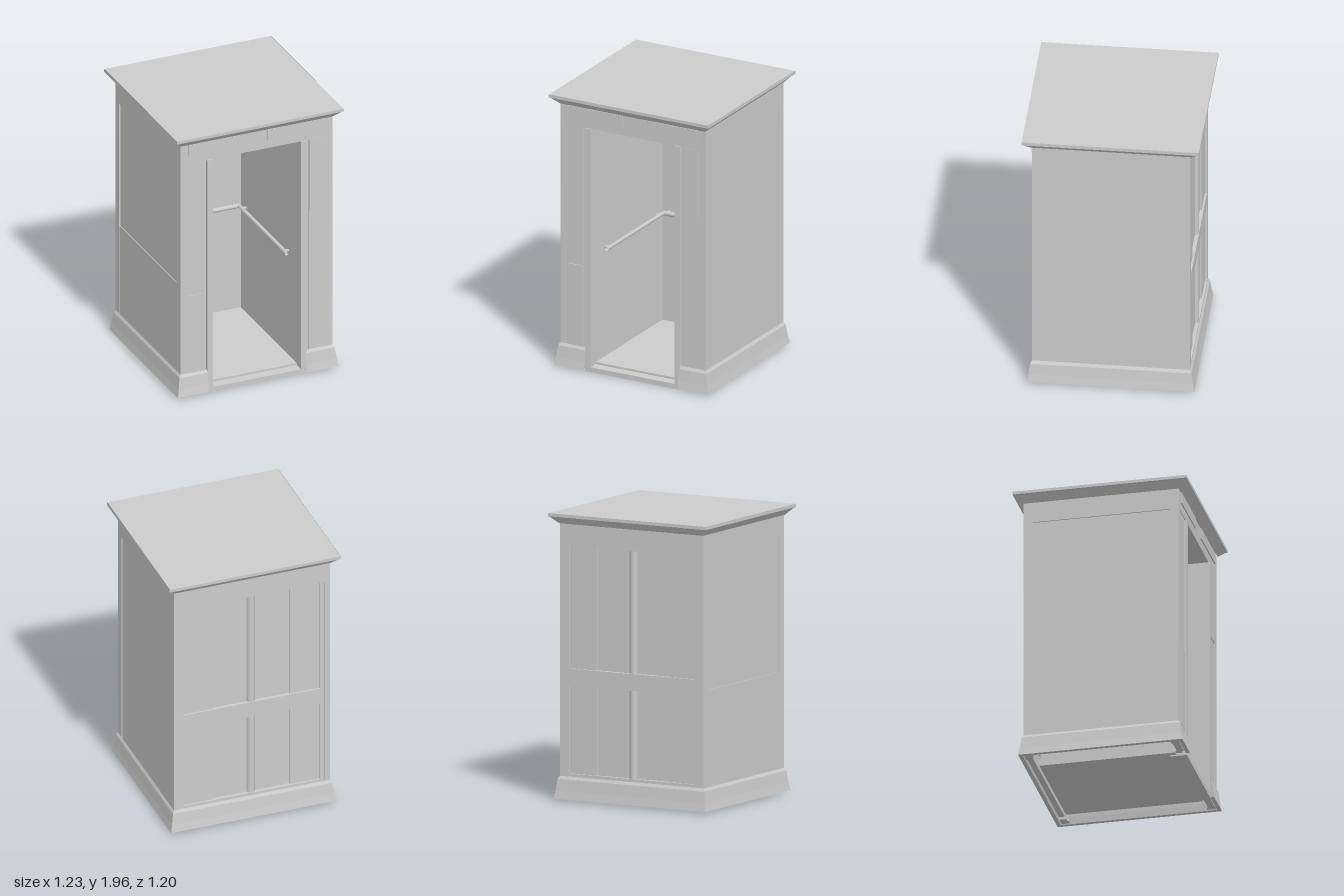
import * as THREE from 'three';

const paint = new THREE.MeshStandardMaterial({ color: 0xcccccc, side: THREE.DoubleSide });
paint.name = 'light grey paint';

// half width and front/back planes of the cabin
const HX = 0.56, ZF = 0.54, ZB = -0.53;

// box given by its lower and upper limits
function box(parent, name, x0, x1, y0, y1, z0, z1) {
  const mesh = new THREE.Mesh(new THREE.BoxGeometry(x1 - x0, y1 - y0, z1 - z0), paint);
  mesh.position.set((x0 + x1) / 2, (y0 + y1) / 2, (z0 + z1) / 2);
  mesh.name = name;
  parent.add(mesh);
  return mesh;
}

// moulding: sweeps [y, outward offset] pairs along a plan outline
function moulding(parent, name, profile, outline) {
  const pos = [];
  for (let i = 0; i < profile.length - 1; i++) {
    const a = outline(profile[i][1]), b = outline(profile[i + 1][1]);
    const ya = profile[i][0], yb = profile[i + 1][0];
    for (let j = 0; j < a.length - 1; j++) {
      const p = [a[j][0], ya, a[j][1]], q = [a[j + 1][0], ya, a[j + 1][1]];
      const r = [b[j + 1][0], yb, b[j + 1][1]], s = [b[j][0], yb, b[j][1]];
      pos.push(...p, ...r, ...q, ...p, ...s, ...r);
    }
  }
  const geo = new THREE.BufferGeometry();
  geo.setAttribute('position', new THREE.Float32BufferAttribute(pos, 3));
  geo.computeVertexNormals();
  const mesh = new THREE.Mesh(geo, paint);
  mesh.name = name;
  parent.add(mesh);
}

// round bar between two points
function bar(parent, name, from, to, radius) {
  const path = new THREE.LineCurve3(new THREE.Vector3(...from), new THREE.Vector3(...to));
  const mesh = new THREE.Mesh(new THREE.TubeGeometry(path, 1, radius, 10), paint);
  mesh.name = name;
  parent.add(mesh);
}

function group(parent, name) {
  const g = new THREE.Group();
  g.name = name;
  parent.add(g);
  return g;
}

export function createModel() {
  const model = new THREE.Group();
  model.name = 'cabin';

  // roof slab and flared cornice
  const roof = group(model, 'roof');
  const ring = (o) => [[-HX - o, ZF + 0.01 + o], [HX + o, ZF + 0.01 + o], [HX + o, ZB - 0.01 - o],
    [-HX - o, ZB - 0.01 - o], [-HX - o, ZF + 0.01 + o]];
  moulding(roof, 'cornice', [[1.92, 0], [1.935, 0.015], [1.965, 0.045], [1.97, 0.055], [1.99, 0.055]], ring);
  box(roof, 'roofTop', -0.612, 0.612, 1.975, 1.992, -0.595, 0.605);

  // flared skirting, open at the doorway
  const skirt = (o) => [[0.36, ZF + o], [HX + o, ZF + o], [HX + o, ZB - o],
    [-HX - o, ZB - o], [-HX - o, ZF + o], [-0.36, ZF + o]];
  moulding(model, 'skirting', [[0.2, 0], [0.18, 0.012], [0.1, 0.022], [0.045, 0.032], [0.045, 0.005]], skirt);

  // side walls: frame with a shallow panel
  for (const s of [-1, 1]) {
    const wall = group(model, s > 0 ? 'leftWall' : 'rightWall');
    const slab = (name, a, b, y0, y1, z0, z1) =>
      box(wall, name, Math.min(s * a, s * b), Math.max(s * a, s * b), y0, y1, z0, z1);
    slab('sidePanel', 0.52, 0.552, 0.18, 1.92, ZB + 0.01, ZF - 0.01);
    slab('frontPost', 0.52, HX, 0.05, 1.92, 0.48, ZF);
    slab('backPost', 0.52, HX, 0.05, 1.92, ZB, -0.47);
    slab('topBand', 0.52, HX, 1.775, 1.92, ZB, ZF);
    if (s < 0) slab('lowerPanel', 0.52, 0.558, 0.19, 0.86, -0.47, 0.48);
    // inner lining and its hand rail
    slab('lining', 0.325, 0.345, 0.07, 1.78, -0.45, 0.5);
    bar(wall, 'sideRail', [s * 0.295, 0.865, -0.4], [s * 0.295, 0.865, 0.38], 0.014);
    for (const z of [-0.36, 0.34])
      bar(wall, 'railBracket', [s * 0.295, 0.865, z], [s * 0.33, 0.865, z], 0.01);
  }

  // front: columns, jambs and lintel around the doorway
  const front = group(model, 'front');
  for (const s of [-1, 1]) {
    const slab = (name, a, b, y0, y1, z0, z1) =>
      box(front, name, Math.min(s * a, s * b), Math.max(s * a, s * b), y0, y1, z0, z1);
    slab('column', 0.39, HX - 0.002, 0.05, 1.92, 0.49, ZF - 0.002);
    slab('jambRecess', 0.36, 0.4, 0.05, 1.78, 0.48, 0.525);
    slab('jamb', 0.325, 0.365, 0.03, 1.775, 0.44, 0.55);
    slab('lintelPlate', 0.08, 0.5, 1.84, 1.917, ZF, 0.549);
  }
  box(front, 'lintel', -HX, HX, 1.775, 1.92, 0.44, ZF + 0.001);
  box(front, 'signPlate', 0.39, 0.5, 1.25, 1.775, 0.535, 0.544);
  box(front, 'lowerFrontPlate', -0.5, -0.39, 0.2, 0.78, 0.535, 0.544);
  box(front, 'sill', -0.36, 0.36, 0.03, 0.065, 0.44, 0.55);

  // back: stiles and rails over recessed panels
  const back = group(model, 'back');
  box(back, 'backPanel', -0.5, 0.5, 0.18, 1.8, -0.505, -0.485);
  for (const s of [-1, 1]) {
    const slab = (name, a, b, y0, y1, z0, z1) =>
      box(back, name, Math.min(s * a, s * b), Math.max(s * a, s * b), y0, y1, z0, z1);
    slab('cornerStile', 0.49, HX - 0.002, 0.05, 1.92, ZB + 0.001, -0.48);
    slab('outerPanel', 0.28, 0.49, 0.18, 1.78, -0.517, -0.49);
  }
  bar(back, 'centreStile', [0, 0.18, -0.5], [0, 1.78, -0.5], 0.03);
  box(back, 'topRail', -HX, HX, 1.77, 1.92, ZB, -0.48);
  box(back, 'middleRail', -0.5, 0.5, 0.82, 0.935, ZB, -0.48);
  box(back, 'bottomRail', -HX, HX, 0.07, 0.22, ZB, -0.49);

  // interior: floor, ceiling, rear lining, rear hand rail and lamp
  const interior = group(model, 'interior');
  box(interior, 'floor', -0.4, 0.4, 0.04, 0.08, -0.46, 0.48);
  box(interior, 'ceiling', -0.53, 0.53, 1.775, 1.795, -0.49, 0.49);
  box(interior, 'backLining', -0.345, 0.345, 0.07, 1.78, -0.465, -0.445);
  bar(interior, 'backRail', [-0.3, 0.865, -0.41], [0.3, 0.865, -0.41], 0.016);
  for (const x of [-0.27, 0.27])
    bar(interior, 'railBracket', [x, 0.865, -0.41], [x, 0.865, -0.45], 0.01);
  const lamp = new THREE.Mesh(new THREE.ConeGeometry(0.075, 0.09, 4), paint);
  lamp.name = 'ceilingLamp';
  lamp.rotation.x = Math.PI;
  lamp.position.set(0, 1.73, 0);
  interior.add(lamp);

  return model;
}
